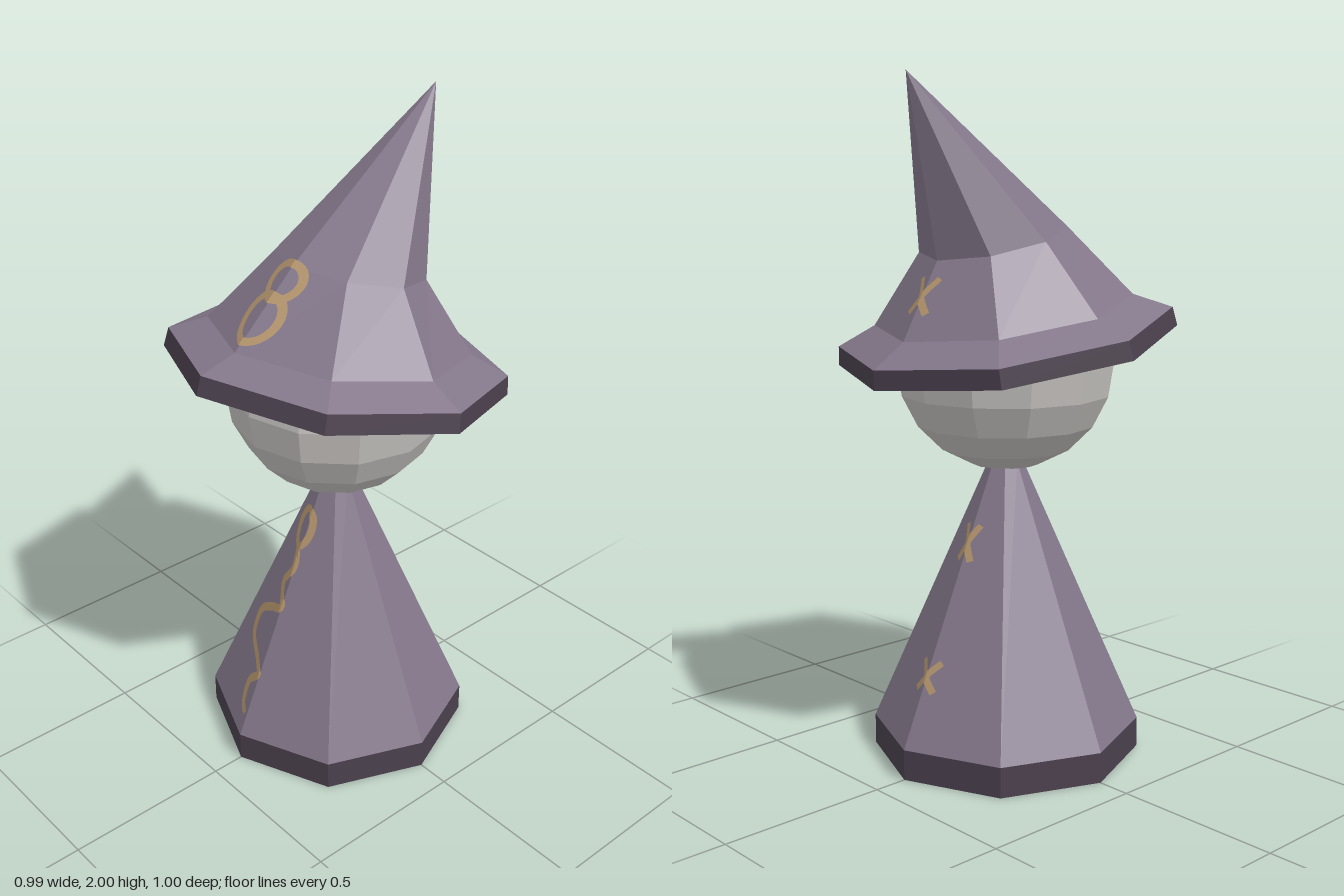
import * as THREE from 'three';

const flat = (name, color, extra = {}) => {
  const m = new THREE.MeshStandardMaterial({ color, flatShading: true, ...extra });
  m.name = name;
  return m;
};

// Tilted octagon: centre (cx, cy), radius r, leaning towards +x by tilt radians
const ring = (cx, cy, r, tilt) => Array.from({ length: 8 }, (_, i) => {
  const a = (i * Math.PI) / 4;
  const c = r * Math.cos(a);
  return new THREE.Vector3(cx + c * Math.cos(tilt), cy - c * Math.sin(tilt), r * Math.sin(a));
});

// Skin between consecutive rings, flat faces
function loft(rings) {
  const pts = [];
  for (let k = 0; k < rings.length - 1; k++) {
    for (let i = 0; i < 8; i++) {
      const j = (i + 1) % 8;
      const [lo, up] = [rings[k], rings[k + 1]];
      pts.push(lo[j], lo[i], up[i], lo[j], up[i], up[j]);
    }
  }
  const g = new THREE.BufferGeometry().setFromPoints(pts);
  g.computeVertexNormals();
  return g;
}

// Painted stroke hugging the two facets beside one edge of a lofted band.
// path holds [distance up the edge, z]; i is the edge index (0 = +x, 4 = -x).
function stroke(lo, up, i, path, width, closed = false) {
  const [A, B, C, D] = [lo[i], up[i], lo[i === 0 ? 1 : 3], up[i === 0 ? 1 : 3]];
  const len = A.distanceTo(B);
  const lowSide = C.clone().sub(A).divideScalar(C.z);
  const topSide = D.clone().sub(B).divideScalar(D.z);
  const dir = B.clone().sub(A).normalize();
  const out = new THREE.Vector3(dir.y, -dir.x, 0).multiplyScalar(i === 0 ? 0.005 : -0.005);
  const place = (u, z) => {
    const t = u / len;
    const side = lowSide.clone().lerp(topSide, t).multiplyScalar(Math.abs(z));
    const p = A.clone().lerp(B, t).add(side).add(out);
    p.z = z;
    return p;
  };
  const curve = new THREE.CatmullRomCurve3(path.map(([u, z]) => new THREE.Vector3(u, z, 0)), closed);
  const n = path.length * 6, cols = 4, pts = [], index = [];
  for (let s = 0; s <= n; s++) {
    const p = curve.getPoint(s / n), d = curve.getTangent(s / n);
    for (let c = 0; c <= cols; c++) {
      const w = (c / cols - 0.5) * width;
      pts.push(place(p.x - d.y * w, p.y + d.x * w));
      if (s < n && c < cols) {
        const q = s * (cols + 1) + c;
        index.push(q, q + 1, q + cols + 1, q + 1, q + cols + 2, q + cols + 1);
      }
    }
  }
  const g = new THREE.BufferGeometry().setFromPoints(pts);
  g.setIndex(index);
  g.computeVertexNormals();
  return g;
}

const oval = (u, z, ru, rz) => Array.from({ length: 10 }, (_, k) => {
  const a = (k * Math.PI) / 5;
  return [u + ru * Math.cos(a), z + rz * Math.sin(a)];
});

export function createModel() {
  const cloth = flat('dusty purple cloth', 0x83778a);
  const trim = flat('dark purple trim', 0x4a404d);
  const stone = flat('pale grey', 0xc4c1be);
  const gold = flat('tan gold paint', 0xb3946c, { side: THREE.DoubleSide });

  const model = new THREE.Group();
  const add = (name, geometry, material) => {
    const mesh = new THREE.Mesh(geometry, material);
    mesh.name = name;
    model.add(mesh);
    return mesh;
  };

  // Robe
  const hem = ring(0, 0.09, 0.4, 0);
  const neck = ring(0, 0.89, 0.05, 0);
  add('robe', loft([hem, neck]), cloth);
  add('robeHem', loft([ring(0, 0, 0, 0), ring(0, 0, 0.4, 0), hem]), trim);

  // Head
  add('head', new THREE.SphereGeometry(0.325, 12, 10), stone).position.y = 1.19;

  // Hat
  const tilt = 0.174;
  const brimTop = ring(0.005, 1.285, 0.492, tilt);
  const crownBase = ring(0.01, 1.335, 0.38, tilt);
  const crownBend = ring(0.05, 1.54, 0.217, 0.245);
  const tip = ring(0.365, 2, 0, 0);
  add('hatBrim', loft([ring(-0.005, 1.23, 0, 0), ring(-0.005, 1.23, 0.5, tilt), brimTop]), trim);
  add('hatCrown', loft([brimTop, crownBase, crownBend, tip]), cloth);

  // Crossed marks on the +x side
  const cross = (name, lo, up, u, h, w) => {
    for (const s of [1, -1]) {
      add(name, stroke(lo, up, 0, [[u - h, -s * w], [u - h * 0.3, -s * w * 0.25],
        [u + h * 0.3, s * w * 0.25], [u + h, s * w]], 0.02), gold);
    }
  };
  cross('hatCross', crownBase, crownBend, 0.135, 0.055, 0.036);
  cross('robeUpperCross', hem, neck, 0.622, 0.055, 0.026);
  cross('robeLowerCross', hem, neck, 0.218, 0.045, 0.036);

  // Curling marks on the -x side
  add('hatLowerLoop', stroke(crownBase, crownBend, 4, oval(0.11, 0, 0.075, 0.06), 0.025, true), gold);
  add('hatUpperLoop', stroke(crownBase, crownBend, 4, oval(0.23, 0, 0.058, 0.055), 0.025, true), gold);
  add('robeLoop', stroke(hem, neck, 4, oval(0.7, -0.012, 0.06, 0.03), 0.022, true), gold);
  add('robeSquiggle', stroke(hem, neck, 4, [[0.64, -0.01], [0.57, 0], [0.51, -0.03], [0.44, 0],
    [0.41, -0.05], [0.36, -0.11], [0.28, -0.11], [0.24, -0.04], [0.21, -0.005],
    [0.16, -0.045], [0.09, -0.04], [0.07, -0.01]], 0.024), gold);

  return model;
}
